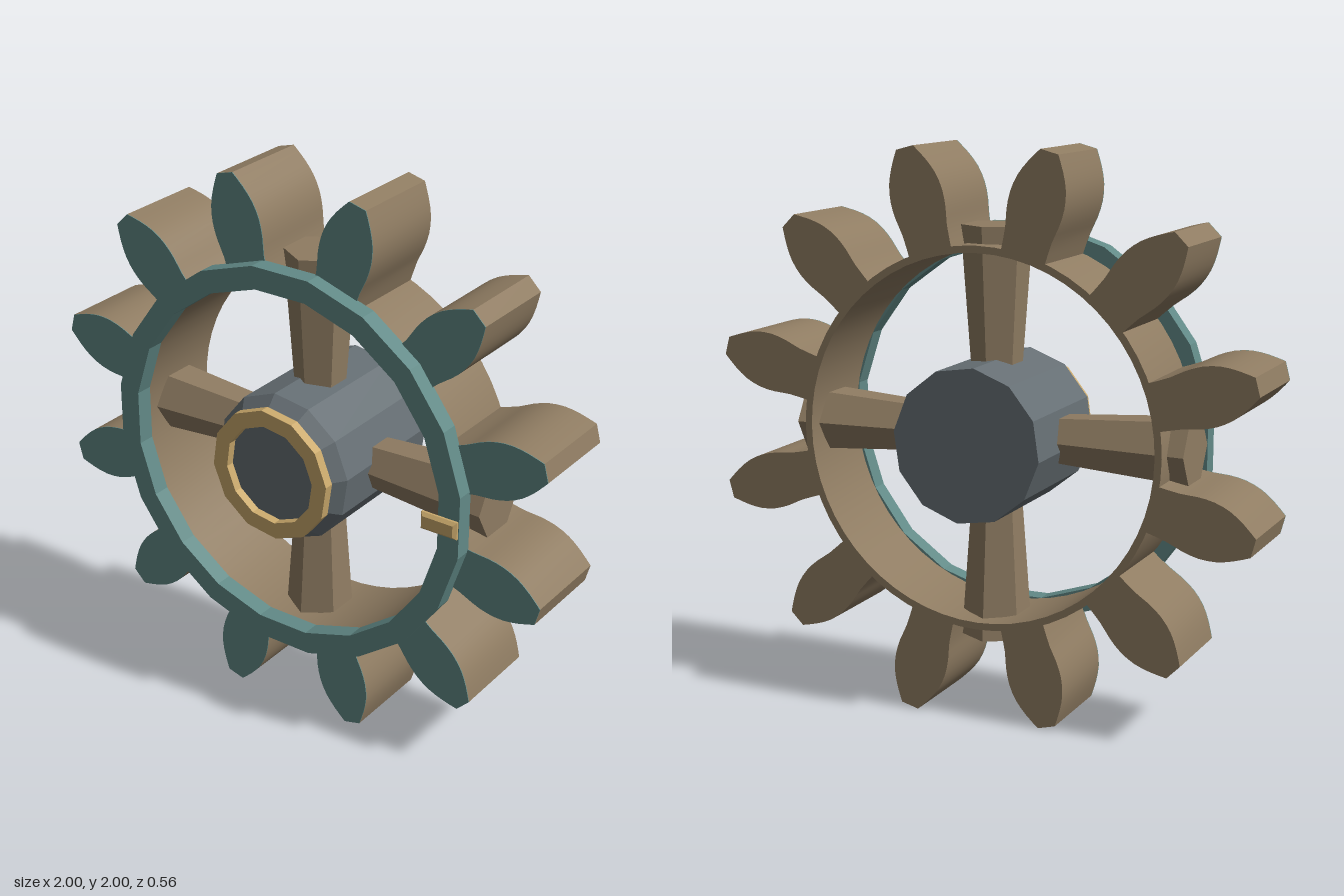
import * as THREE from 'three';
import { toCreasedNormals } from 'three/addons/utils/BufferGeometryUtils.js';

const flat = (name, color) => {
  const m = new THREE.MeshStandardMaterial({ color });
  m.name = name;
  return m;
};

export function createModel() {
  const bronze = flat('brown bronze', 0x8f7c62);
  const teal = flat('teal paint', 0x628a87);
  const steel = flat('dark steel', 0x666f74);
  const brass = flat('brass', 0xcaa96c);

  const model = new THREE.Group();
  model.name = 'gearWheel';
  const wheel = new THREE.Group();
  wheel.name = 'wheel';
  wheel.position.y = 1;
  model.add(wheel);

  const add = (name, geometry, material, parent = wheel) => {
    const mesh = new THREE.Mesh(toCreasedNormals(geometry, 0.3), material);
    mesh.name = name;
    parent.add(mesh);
    return mesh;
  };

  // Turned part about the z axis; profile points are [radius, z]
  const turned = (name, profile, sides, start, material) => {
    const pts = profile.map(([r, z]) => new THREE.Vector2(r, z));
    const g = new THREE.LatheGeometry(pts, sides, start, Math.PI * 2);
    return add(name, g.rotateX(Math.PI / 2), material);
  };
  const band = (inner, outer, z0, z1) =>
    [[inner, z0], [outer, z0], [outer, z1], [inner, z1], [inner, z0]];

  // Thin rim carrying the teeth, and the faceted ring on its front
  turned('rim', band(0.647, 0.672, -0.19, 0.148), 60, 0, bronze);
  turned('frontRing', band(0.645, 0.727, 0.145, 0.21), 20, Math.PI / 20, teal);

  // Tooth outline: a bulging leaf with a narrow flat tip, pointing along +x
  const side = new THREE.SplineCurve([
    [0.66, 0.082], [0.74, 0.087], [0.80, 0.098], [0.86, 0.101],
    [0.92, 0.09], [0.975, 0.065], [1.026, 0.033],
  ].map(([r, w]) => new THREE.Vector2(r, w))).getPoints(12);
  const mirrored = side.map((p) => new THREE.Vector2(p.x, -p.y));
  const outline = new THREE.Shape([...mirrored, ...side.reverse()]);
  const toothBody = new THREE.ExtrudeGeometry(outline, { depth: 0.338, bevelEnabled: false });
  toothBody.translate(0, 0, -0.19);
  const toothFace = new THREE.ExtrudeGeometry(outline, { depth: 0.003, bevelEnabled: false });
  toothFace.translate(0, 0, 0.148);
  for (let i = 0; i < 12; i++) {
    const tooth = new THREE.Group();
    tooth.name = 'tooth';
    tooth.rotation.z = ((i + 0.5) * Math.PI) / 6;
    add('toothBody', toothBody, bronze, tooth);
    add('toothFace', toothFace, teal, tooth);
    wheel.add(tooth);
  }

  // Four tapered hexagonal spokes whose ends poke out through the rim
  const spoke = new THREE.CylinderGeometry(0.125, 0.087, 0.53, 6);
  spoke.translate(0, 0.465, -0.02);
  for (let i = 0; i < 4; i++) {
    add('spoke', spoke, bronze).rotation.z = (i * Math.PI) / 2;
  }

  // Twelve-sided hub with a chamfered front and a brass collar
  const turn = 0.115;
  turned('hub', [[0, -0.28], [0.273, -0.28], [0.273, 0.2], [0.228, 0.248], [0, 0.248]],
    12, turn, steel);
  turned('hubCollar', band(0.182, 0.241, 0.245, 0.28), 12, turn, brass);

  // Small chamfered marker on the front ring
  const bar = new THREE.Shape();
  const w = 0.058, h = 0.021;
  bar.moveTo(-w, -h).lineTo(w, -h).lineTo(w, h).lineTo(-w, h).closePath();
  const marker = new THREE.ExtrudeGeometry(bar, {
    depth: 0.008, bevelSize: 0.011, bevelThickness: 0.011, bevelSegments: 1,
  });
  add('marker', marker, brass).position.set(0.652, 0, 0.219);

  return model;
}
